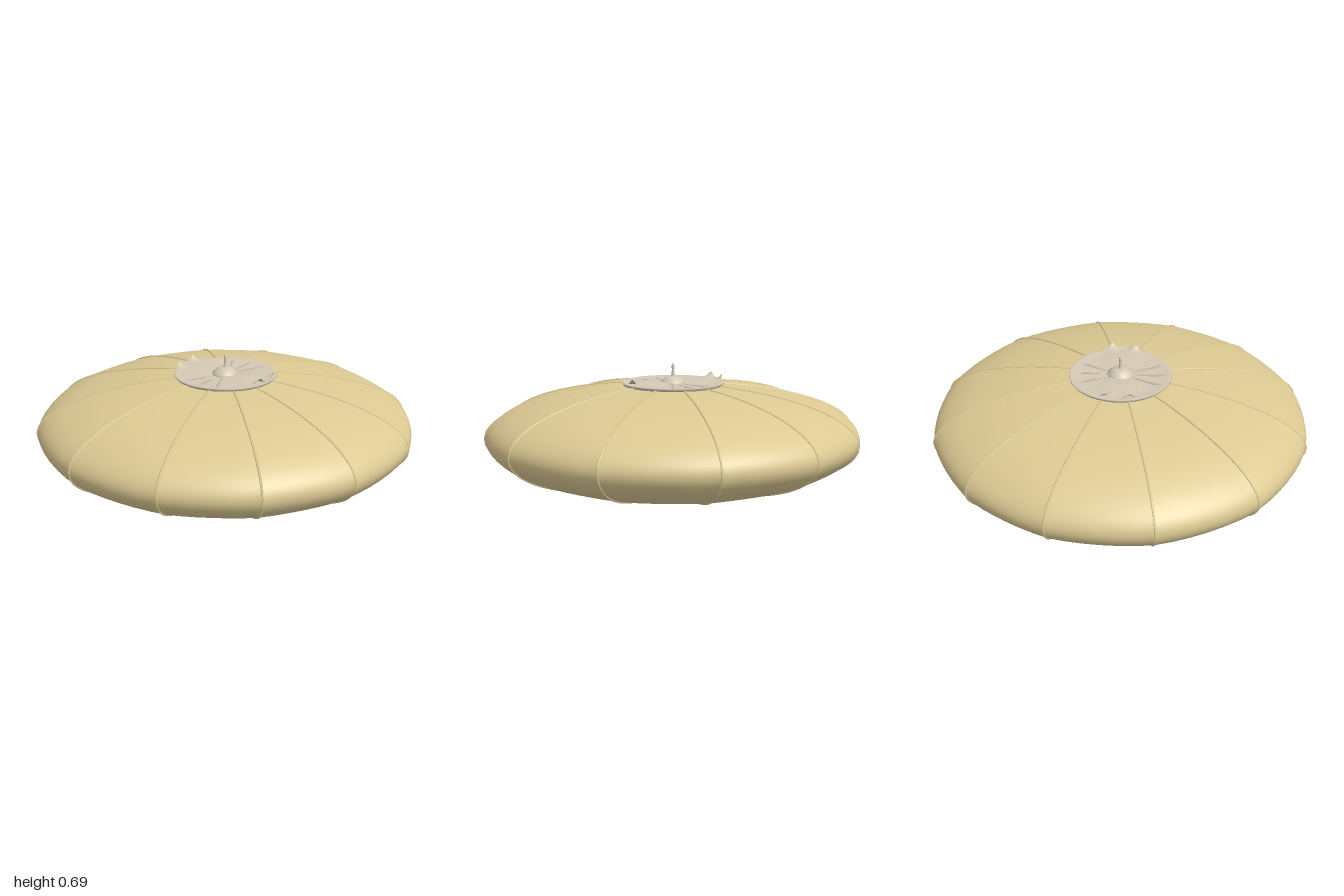
import * as THREE from 'three';
import { mergeGeometries } from 'three/addons/utils/BufferGeometryUtils.js';

const fabric = new THREE.MeshStandardMaterial({ color: 0xdcc993 });
fabric.name = 'cream fabric';
const metal = new THREE.MeshStandardMaterial({ color: 0xd3c8b3, side: THREE.DoubleSide });
metal.name = 'pale metal';

const R = 0.994, H = 0.28, MID = 0.3;
const RIBS = 12;

// Ribs are spaced almost evenly, mirrored in every quarter
const quarter = [0, 32.2, 62.3];
const ribAngle = (i) => {
  const k = i % 6;
  const deg = k <= 2 ? quarter[k] : k === 3 ? 90 : 180 - quarter[6 - k];
  return THREE.MathUtils.degToRad(deg + 180 * Math.floor(i / 6));
};

// Elliptical saucer section, t runs from the lower to the upper opening
const T0 = -Math.acos(0.18 / R), T1 = Math.acos(0.24 / R);
function section(t, angle, sink = 0) {
  const lat = T0 + (T1 - T0) * t;
  const r = Math.cos(lat) * R * (1 - sink);
  const y = MID + Math.sin(lat) * H * (1 - sink * 0.7);
  return new THREE.Vector3(r * Math.cos(angle), y, r * Math.sin(angle));
}

// Grid surface from a point rule
function grid(nu, nv, rule) {
  const pos = [], idx = [];
  for (let i = 0; i <= nu; i++)
    for (let j = 0; j <= nv; j++) pos.push(...rule(i / nu, j / nv).toArray());
  for (let i = 0; i < nu; i++)
    for (let j = 0; j < nv; j++) {
      const a = i * (nv + 1) + j, b = a + nv + 1;
      idx.push(a, a + 1, b, a + 1, b + 1, b);
    }
  const g = new THREE.BufferGeometry();
  g.setAttribute('position', new THREE.Float32BufferAttribute(pos, 3));
  g.setIndex(idx);
  g.computeVertexNormals();
  return g;
}

function add(parent, name, geometry, material, x = 0, y = 0, z = 0) {
  const m = new THREE.Mesh(geometry, material);
  m.name = name;
  m.position.set(x, y, z);
  parent.add(m);
  return m;
}

const lathe = (pts, n = 48) =>
  new THREE.LatheGeometry(pts.map((p) => new THREE.Vector2(...p)), n);

export function createModel() {
  const model = new THREE.Group();
  model.name = 'saucerLamp';

  // Stretched fabric panels, slightly sunk between the ribs
  const panels = [], ribs = [];
  for (let i = 0; i < RIBS; i++) {
    const a = ribAngle(i);
    const b = i === RIBS - 1 ? Math.PI * 2 : ribAngle(i + 1);
    panels.push(grid(6, 40, (u, v) =>
      section(v, a + (b - a) * u, 0.009 * Math.sin(Math.PI * u))));
    const path = Array.from({ length: 25 }, (_, k) => section(k / 24, a));
    ribs.push(new THREE.TubeGeometry(new THREE.CatmullRomCurve3(path), 48, 0.006, 6));
  }
  add(model, 'shadePanels', mergeGeometries(panels), fabric);
  add(model, 'shadeRibs', mergeGeometries(ribs), fabric);

  // Lower rim and its inset disc
  add(model, 'lowerRim', lathe([
    [0.165, 0.022], [0.166, 0.004], [0.172, 0], [0.182, 0.003],
    [0.2, 0.018], [0.205, 0.026], [0.19, 0.04],
  ]), fabric);
  add(model, 'lowerDisc', new THREE.CylinderGeometry(0.168, 0.168, 0.01, 48), metal, 0, 0.015, 0);

  // Shallow cap dish on top
  const cap = new THREE.Group();
  cap.name = 'topCap';
  model.add(cap);
  add(cap, 'capDish', lathe([
    [0.235, 0.56], [0.262, 0.569], [0.27, 0.579], [0.268, 0.585],
    [0.258, 0.583], [0.2, 0.577], [0.1, 0.577], [0, 0.58],
  ]), metal);

  // Two round petals with a pair of upturned horns on the outer edge
  const petal = grid(12, 48, (u, v) => {
    const th = -(v * 2 - 1) * Math.PI;
    const horn = Math.exp(-(((Math.abs(th) - 0.55) / 0.16) ** 2));
    const outer = Math.max(0, Math.cos(th));
    const r = 0.122 * u * (1 - 0.1 * u ** 3 * Math.exp(-((th / 0.4) ** 2)));
    const y = 0.585 + 0.008 * (1 - u * u) + u ** 5 * (0.028 * horn + 0.008 * outer);
    return new THREE.Vector3(0.158 + r * Math.cos(th), y, r * Math.sin(th));
  });
  // Low radial creases in the dish between the petals
  const crease = new THREE.CylinderGeometry(0.012, 0.004, 0.17, 3);
  crease.rotateZ(-Math.PI / 2);
  crease.scale(1, 0.6, 1);
  for (let s = 0; s < 2; s++) {
    const side = new THREE.Group();
    side.name = s ? 'petalSideBack' : 'petalSideFront';
    side.rotation.y = -Math.PI / 4 + s * Math.PI;
    cap.add(side);
    add(side, 'petal', petal, metal);
    [65, 90, 115].forEach((deg) => {
      const a = THREE.MathUtils.degToRad(deg);
      add(side, 'crease', crease, metal, 0.155 * Math.cos(a), 0.577, -0.155 * Math.sin(a))
        .rotation.y = a;
    });
  }

  // Hub with a slim finial
  add(cap, 'hub', lathe([
    [0.068, 0.575], [0.068, 0.588], [0.055, 0.594], [0.048, 0.606],
    [0.03, 0.613], [0.014, 0.617], [0, 0.618],
  ], 32), metal);
  add(cap, 'finial', lathe([
    [0.012, 0.612], [0.008, 0.63], [0.006, 0.65], [0.008, 0.668], [0.006, 0.68], [0, 0.685],
  ], 16), metal);

  return model;
}
